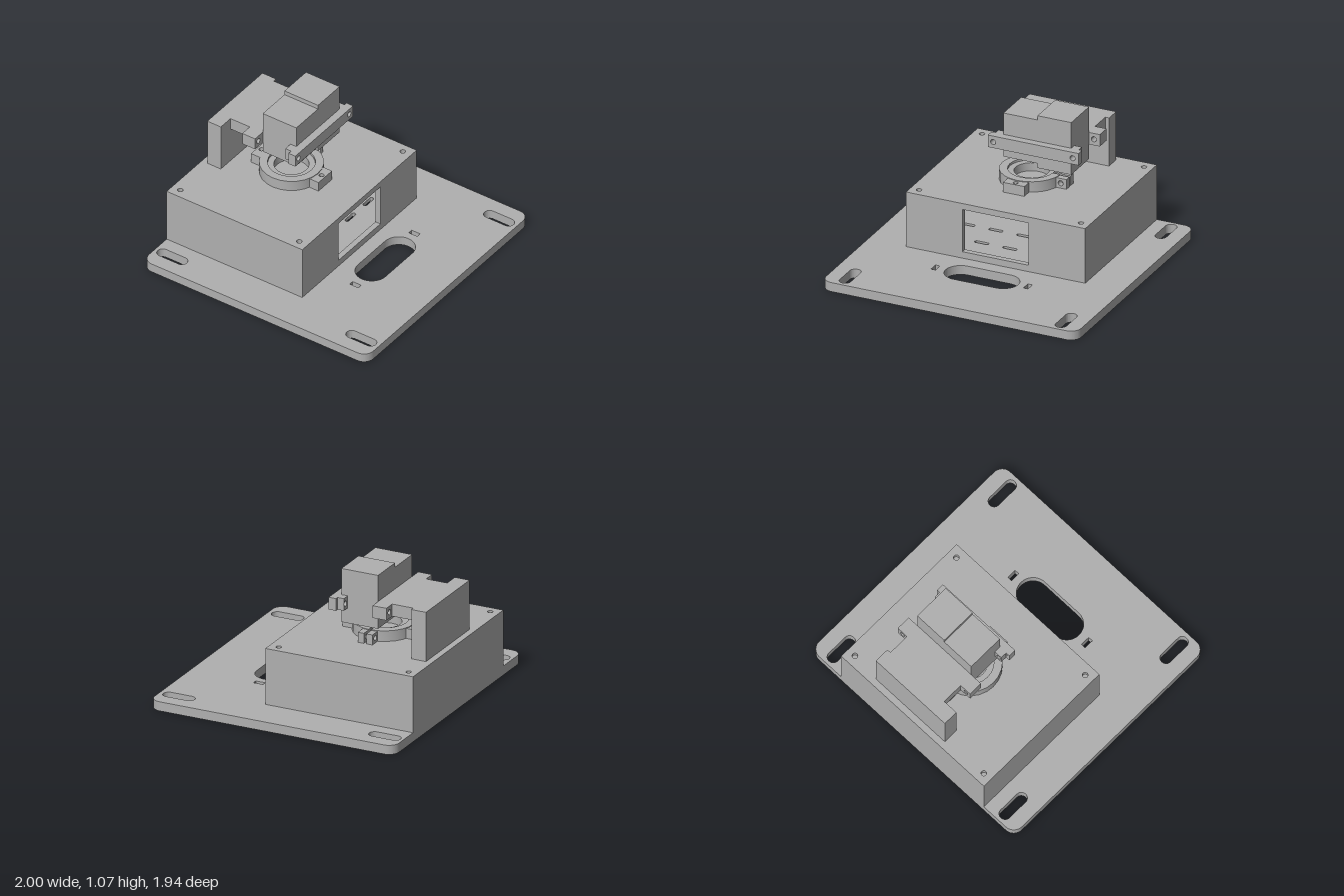
import * as THREE from 'three';
import { toCreasedNormals } from 'three/addons/utils/BufferGeometryUtils.js';

const grey = new THREE.MeshStandardMaterial({ color: 0xb0b0b0 });
grey.name = 'grey';

// Rectangle outline, optionally with rounded corners
function rect(x0, x1, y0, y1, r = 0, Type = THREE.Path) {
  const s = new Type();
  if (r === 0) {
    s.moveTo(x0, y0); s.lineTo(x1, y0); s.lineTo(x1, y1); s.lineTo(x0, y1); s.closePath();
    return s;
  }
  s.moveTo(x0 + r, y0);
  s.absarc(x1 - r, y0 + r, r, -Math.PI / 2, 0);
  s.absarc(x1 - r, y1 - r, r, 0, Math.PI / 2);
  s.absarc(x0 + r, y1 - r, r, Math.PI / 2, Math.PI);
  s.absarc(x0 + r, y0 + r, r, Math.PI, Math.PI * 1.5);
  s.closePath();
  return s;
}
// Floor-plan outlines: shape y is -z
const plan = (x0, x1, z0, z1, r, Type) => rect(x0, x1, -z1, -z0, r, Type);
const hole = (x, y, r = 0.02) => new THREE.Path().absarc(x, y, r, 0, Math.PI * 2);

function extrude(shape, depth) {
  const g = new THREE.ExtrudeGeometry(shape, { depth, bevelEnabled: false, curveSegments: 12 });
  return toCreasedNormals(g, 0.5);
}

export function createModel() {
  const model = new THREE.Group();
  model.name = 'clampMount';

  function add(name, geometry) {
    const m = new THREE.Mesh(geometry, grey);
    m.name = name;
    model.add(m);
  }
  const box = (name, x0, x1, y0, y1, z0, z1) => add(name,
    new THREE.BoxGeometry(x1 - x0, y1 - y0, z1 - z0)
      .translate((x0 + x1) / 2, (y0 + y1) / 2, (z0 + z1) / 2));
  const slab = (name, shape, y0, y1) => add(name,
    extrude(shape, y1 - y0).rotateX(-Math.PI / 2).translate(0, y0, 0));
  const panel = (name, shape, z0, z1) => add(name, extrude(shape, z1 - z0).translate(0, 0, z0));

  const bolts = [];
  for (const x of [-0.635, 0.635]) for (const z of [-0.9, 0.13]) bolts.push([x, z]);

  // Base plate with mounting slots, cable opening, tie slots and underside opening
  const base = plan(-1, 1, -0.97, 0.97, 0.08, THREE.Shape);
  for (const x of [-0.847, 0.847]) {
    base.holes.push(plan(x - 0.043, x + 0.043, -0.945, -0.695, 0.0429));
    base.holes.push(plan(x - 0.043, x + 0.043, 0.69, 0.94, 0.0429));
  }
  for (const x of [-0.365, 0.36]) base.holes.push(plan(x - 0.018, x + 0.018, 0.388, 0.462));
  base.holes.push(plan(-0.285, 0.285, 0.307, 0.545, 0.1189));
  base.holes.push(plan(-0.55, 0.55, -0.78, 0.03));
  for (const [x, z] of bolts) base.holes.push(hole(x, -z));
  slab('basePlate', base, 0, 0.07);

  // Slotted vent floor inside the housing
  const floor = plan(-0.67, 0.67, -0.94, 0.17, 0, THREE.Shape);
  for (let i = -2; i <= 2; i++) for (let j = 0; j < 4; j++) {
    const x = i * 0.22, z = -0.72 + j * 0.23;
    floor.holes.push(plan(x - 0.055, x + 0.055, z - 0.015, z + 0.015, 0.0149));
  }
  slab('ventFloor', floor, 0.07, 0.1);

  // Hollow housing with a front window
  const front = rect(-0.703, 0.703, 0.07, 0.46, 0, THREE.Shape);
  front.holes.push(rect(-0.26, 0.257, 0.12, 0.45));
  panel('housingFront', front, 0.16, 0.203);
  box('housingBack', -0.703, 0.703, 0.07, 0.46, -0.97, -0.93);
  box('housingRight', -0.703, -0.663, 0.07, 0.46, -0.93, 0.16);
  box('housingLeft', 0.663, 0.703, 0.07, 0.46, -0.93, 0.16);
  const lid = plan(-0.703, 0.703, -0.97, 0.203, 0, THREE.Shape);
  for (const [x, z] of bolts) {
    lid.holes.push(hole(x, -z));
    box('screwPost', x - 0.04, x + 0.04, 0.07, 0.46, z - 0.04, z + 0.04);
  }
  slab('housingLid', lid, 0.46, 0.497);

  // Split collar with an inner bearing ring
  const cz = -0.385, gap = 0.045;
  const collar = new THREE.Shape();
  collar.absarc(0, -cz, 0.23, gap, Math.PI * 2 - gap);
  collar.absarc(0, -cz, 0.17, Math.PI * 2 - gap, gap, true);
  collar.closePath();
  slab('collar', collar, 0.497, 0.578);
  const bearing = new THREE.Shape().absarc(0, -cz, 0.17, 0, Math.PI * 2);
  bearing.holes.push(hole(0, -cz, 0.125));
  slab('bearing', bearing, 0.497, 0.56);

  // Collar mounting tabs, front and back
  for (const s of [1, -1]) {
    const za = cz + s * 0.2, zb = cz + s * 0.292;
    const tab = plan(-0.083, 0.083, Math.min(za, zb), Math.max(za, zb), 0, THREE.Shape);
    tab.holes.push(hole(0, -(cz + s * 0.26), 0.018));
    slab('collarTab', tab, 0.497, 0.573);
  }
  // Collar clamping ears
  for (const z of [cz - 0.058, cz + 0.01]) {
    const ear = rect(0.21, 0.302, 0.497, 0.573, 0, THREE.Shape);
    ear.holes.push(hole(0.256, 0.535));
    panel('collarEar', ear, z, z + 0.048);
  }

  // Stepped motor body
  box('motorLowSide', -0.15, 0.117, 0.7, 1.04, -0.528, -0.238);
  box('motorHighSide', 0.117, 0.382, 0.665, 1.073, -0.528, -0.238);

  // Clamp bars in front of and behind the motor
  function clampBar(name, z0, z1) {
    const bar = rect(-0.245, 0.467, 0.78, 0.873, 0, THREE.Shape);
    for (const x of [-0.203, 0.42]) bar.holes.push(hole(x, 0.827));
    panel(name, bar, z0, z1);
  }
  clampBar('frontClamp', -0.238, -0.18);
  clampBar('rearClamp', -0.638, -0.528);
  for (const [x0, x1] of [[-0.213, -0.15], [0.382, 0.442]]) {
    const lug = rect(x0, x1, 0.78, 0.873, 0, THREE.Shape);
    lug.holes.push(hole(x0 < 0 ? -0.188 : 0.418, 0.827));
    panel('clampLug', lug, -0.288, -0.238);
  }

  // Arm and upright carrying the rear clamp
  box('arm', -0.153, 0.377, 0.78, 0.873, -0.805, -0.638);
  box('upright', -0.272, 0.407, 0.497, 0.873, -0.922, -0.805);

  return model;
}
